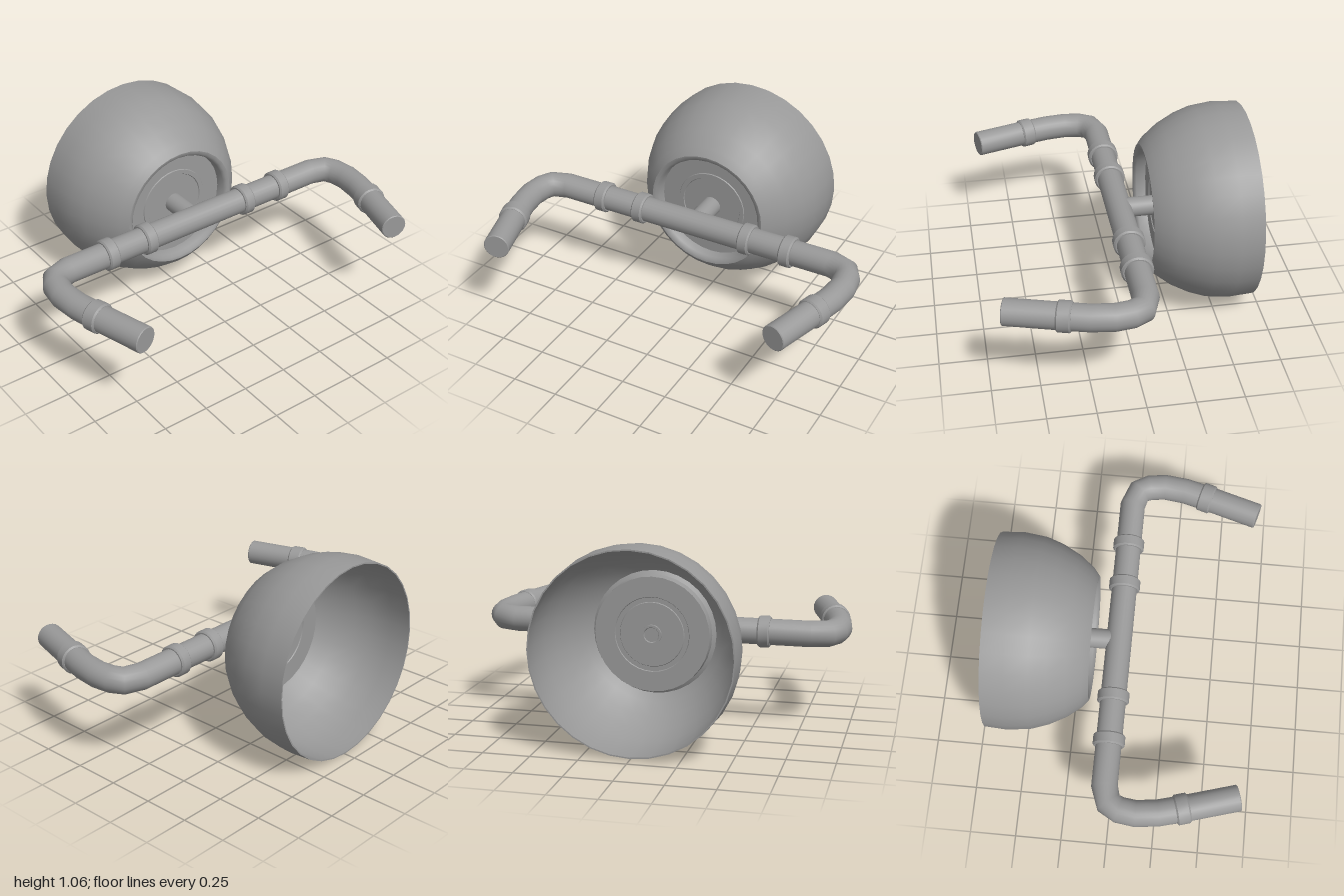
import * as THREE from 'three';
import { toCreasedNormals } from 'three/addons/utils/BufferGeometryUtils.js';

const Y = 0.532;     // height of the common axis
const BAR_Z = -0.022;
const R = 0.069;     // pipe radius
const material = new THREE.MeshStandardMaterial({ color: 0x999999, side: THREE.DoubleSide });

function add(group, name, geometry) {
  const mesh = new THREE.Mesh(geometry, material);
  mesh.name = name;
  group.add(mesh);
  return mesh;
}

// Turned part: [radius, height] points, running upwards on the outside
function turned(points, segments, crease = 0.5) {
  const profile = points.map(([r, h]) => new THREE.Vector2(r, h));
  return toCreasedNormals(new THREE.LatheGeometry(profile, segments), crease);
}

// Chamfered collar around a pipe, centred on its own axis
function collar(radius, length) {
  const h = length / 2, c = 0.008;
  return turned([[R * 0.95, -h], [radius - c, -h], [radius, -h + c],
    [radius, h - c], [radius - c, h], [R * 0.95, h]], 24);
}

// Path through given points, with one pipe ring mitred at each point
class PipePath extends THREE.Curve {
  constructor(points) {
    super();
    this.points = points;
  }
  getPointAt(u) {
    return this.points[Math.round(u * (this.points.length - 1))].clone();
  }
  getTangentAt(u) {
    const p = this.points, last = p.length - 1, i = Math.round(u * last);
    const direction = (a, b) => p[b].clone().sub(p[a]).normalize();
    const before = direction(Math.max(i - 1, 0), Math.max(i, 1));
    const after = direction(Math.min(i, last - 1), Math.min(i + 1, last));
    return before.add(after).normalize();
  }
}

export function createModel() {
  const model = new THREE.Group();
  model.name = 'bowlOnHandlebar';

  // Thin bowl opening to the back, with a deep-set stepped disc at its front
  const bowl = add(model, 'bowl', turned([
    [0.525, -0.693], [0.532, -0.57], [0.517, -0.45], [0.486, -0.36], [0.436, -0.265],
    [0.376, -0.188], [0.335, -0.155], [0.317, -0.157], [0.304, -0.172], [0.3, -0.222],
    [0.2, -0.222], [0.197, -0.217], [0.173, -0.217], [0.17, -0.222], [0, -0.222],
    [0, -0.228], [0.17, -0.228], [0.173, -0.223], [0.197, -0.223], [0.2, -0.228],
    [0.306, -0.228], [0.31, -0.178], [0.33, -0.166], [0.371, -0.196], [0.43, -0.27],
    [0.479, -0.364], [0.51, -0.452], [0.525, -0.57], [0.518, -0.693], [0.525, -0.693],
  ], 32, 0.78));
  bowl.rotation.x = Math.PI / 2;
  bowl.position.y = Y;

  // Short stem joining bar and bowl, ending in a hub inside the bowl
  const stem = add(model, 'stem', turned([
    [0, -0.236], [0.038, -0.236], [0.041, -0.242], [0.053, -0.242], [0.053, BAR_Z], [0, BAR_Z],
  ], 24));
  stem.rotation.x = Math.PI / 2;
  stem.position.y = Y;

  // Bar with both ends bent forwards and slightly inwards
  const half = [[0.8, BAR_Z], [0.89, 0.008], [0.92, 0.065], [0.931, 0.15], [0.917, 0.265], [0.885, 0.385]];
  const points = [
    ...half.map(([x, z]) => new THREE.Vector3(-x, Y, z)).reverse(),
    ...half.map(([x, z]) => new THREE.Vector3(x, Y, z)),
  ];
  add(model, 'bar', new THREE.TubeGeometry(new PipePath(points), points.length - 1, R, 24));

  for (const side of [1, -1]) {
    const label = side > 0 ? 'left' : 'right';
    const at = (x, z) => new THREE.Vector3(side * x, Y, z);

    // Collars on the bar
    for (const [name, x] of [['InnerCollar', 0.321], ['OuterCollar', 0.559]]) {
      const ring = add(model, label + name, collar(0.084, 0.064));
      ring.rotation.z = Math.PI / 2;
      ring.position.copy(at(x, BAR_Z));
    }

    // Straight grip with a capped end, and its collar
    const joint = at(0.885, 0.385), tip = at(0.8, 0.673);
    const along = tip.clone().sub(joint);
    const length = along.length();
    const turn = new THREE.Quaternion().setFromUnitVectors(new THREE.Vector3(0, 1, 0), along.normalize());
    const grip = add(model, label + 'Grip', turned([
      [R, 0], [R, length - 0.004], [R - 0.004, length], [0, length],
    ], 24));
    grip.position.copy(joint);
    grip.quaternion.copy(turn);
    const ring = add(model, label + 'GripCollar', collar(0.079, 0.074));
    ring.position.copy(joint);
    ring.quaternion.copy(turn);
  }
  return model;
}
